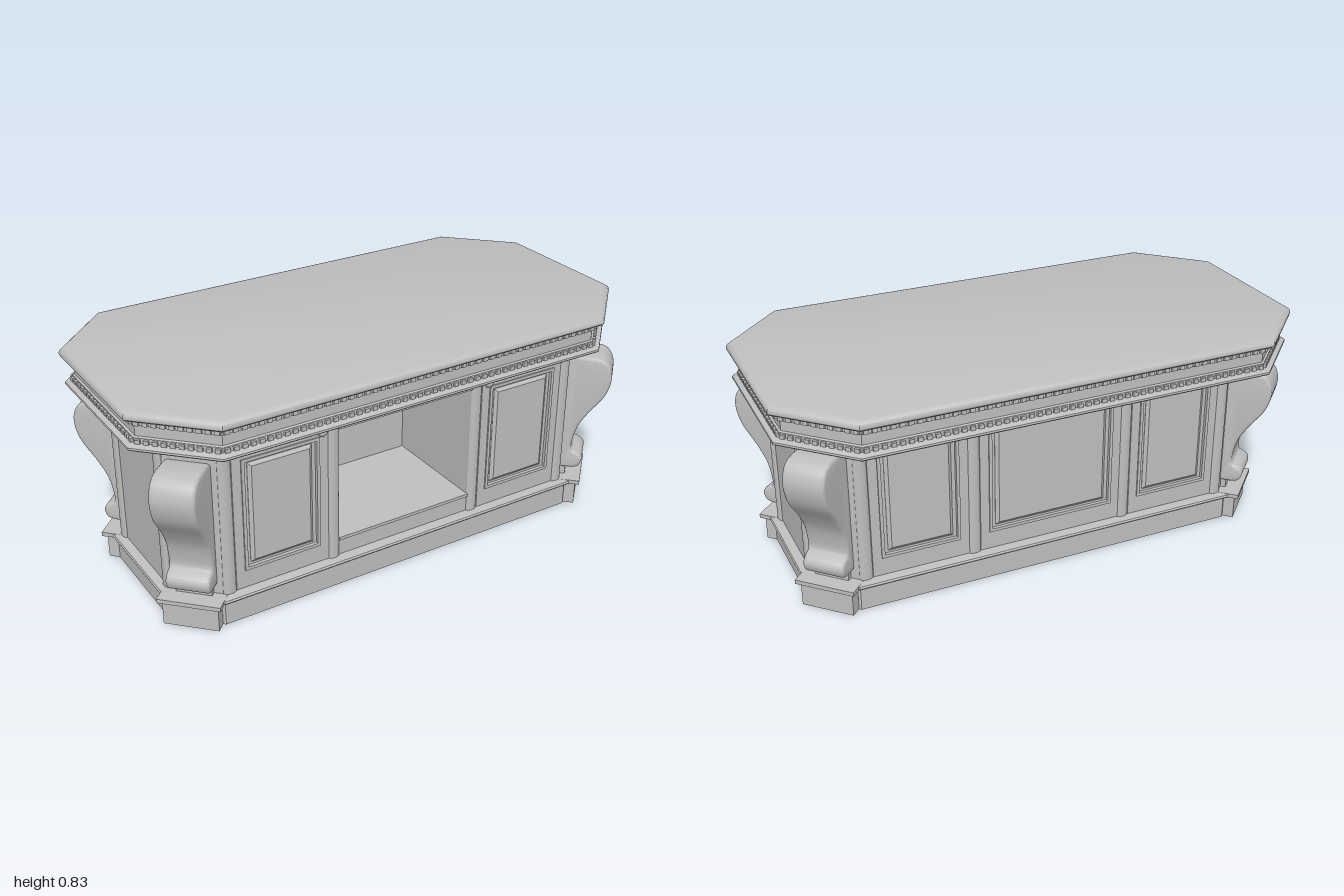
import * as THREE from 'three';
import { mergeGeometries, toCreasedNormals } from 'three/addons/utils/BufferGeometryUtils.js';

const CZ = 0.045; // the cabinet sits a little forward of the top's centre

// Octagonal outline [x, z] with cut corners, offset outward by d
function octagon({ hx, hz, cut, cz = 0 }, d = 0) {
  const x = hx + d, z = hz + d, c = cut + d * (2 - Math.SQRT2);
  return [[x, z - c], [x - c, z], [c - x, z], [-x, z - c],
    [-x, c - z], [c - x, -z], [x - c, -z], [x, c - z]].map(([px, pz]) => [px, pz + cz]);
}

// Sweep a profile of [offset, y] steps, bottom to top, around an octagon and cap it
function octagonMoulding(oct, profile) {
  const pos = [];
  const rings = profile.map(([d, y]) => octagon(oct, d).map(([x, z]) => [x, y, z]));
  const tri = (...pts) => pts.forEach((p) => pos.push(...p));
  const first = rings[0], last = rings[rings.length - 1];
  for (let i = 0; i < 8; i++) {
    const j = (i + 1) % 8;
    for (let k = 0; k + 1 < rings.length; k++) {
      const lo = rings[k], hi = rings[k + 1];
      tri(lo[i], hi[j], lo[j]);
      tri(lo[i], hi[i], hi[j]);
    }
    tri([0, first[0][1], oct.cz || 0], first[i], first[j]);
    tri([0, last[0][1], oct.cz || 0], last[j], last[i]);
  }
  const g = new THREE.BufferGeometry();
  g.setAttribute('position', new THREE.Float32BufferAttribute(pos, 3));
  return toCreasedNormals(g, 0.6);
}

// Extrude an [x, z] outline upward from y0 to y1; a hole must run the other way round
function extrudeUp(points, y0, y1, hole) {
  const vec = (list) => list.map(([x, z]) => new THREE.Vector2(x, -z));
  const shape = new THREE.Shape(vec(points));
  if (hole) shape.holes.push(new THREE.Path(vec(hole).reverse()));
  return new THREE.ExtrudeGeometry(shape, { depth: y1 - y0, bevelEnabled: false })
    .rotateX(-Math.PI / 2).translate(0, y0, 0);
}

const rect = (w, h, Type = THREE.Shape) => new Type([[-1, -1], [1, -1], [1, 1], [-1, 1]]
  .map(([x, y]) => new THREE.Vector2(x * w / 2, y * h / 2)));

export function createModel() {
  const desk = new THREE.Group();
  desk.name = 'desk';
  const grey = new THREE.MeshStandardMaterial({ color: 0xbfbfbf });
  grey.name = 'plain grey';

  const add = (name, geometry, parent = desk) => {
    const mesh = new THREE.Mesh(geometry, grey);
    mesh.name = name;
    parent.add(mesh);
    return mesh;
  };
  const box = (name, w, h, d, x, y, z, parent) =>
    add(name, new THREE.BoxGeometry(w, h, d).translate(x, y, z), parent);

  // Table top with a rounded edge
  const top = { hx: 1, hz: 0.51, cut: 0.23 };
  add('tableTop', octagonMoulding(top, [[-0.03, 0.788], [-0.022, 0.797], [-0.008, 0.8], [-0.001, 0.807],
    [0, 0.815], [-0.004, 0.825], [-0.012, 0.832], [-0.022, 0.835]]));

  // Frieze with a slightly sunk band and a moulding below
  add('frieze', octagonMoulding(top, [[-0.03, 0.69], [-0.016, 0.69], [-0.009, 0.696], [-0.01, 0.703],
    [-0.02, 0.708], [-0.035, 0.711], [-0.035, 0.729], [-0.042, 0.733],
    [-0.042, 0.769], [-0.035, 0.773], [-0.035, 0.79]]));

  // Two rows of small teeth around the frieze
  const teeth = [];
  const outline = octagon(top, -0.033);
  outline.forEach(([x0, z0], i) => {
    const [x1, z1] = outline[(i + 1) % 8];
    const length = Math.hypot(x1 - x0, z1 - z0), n = Math.round(length / 0.03);
    for (let k = 0; k < n; k++) {
      const t = (k + 0.5) / n;
      for (const y of [0.718, 0.783]) {
        teeth.push(new THREE.BoxGeometry(0.018, 0.014, 0.014)
          .rotateY(-Math.atan2(z1 - z0, x1 - x0))
          .translate(x0 + (x1 - x0) * t, y, z0 + (z1 - z0) * t));
      }
    }
  });
  add('friezeTeeth', mergeGeometries(teeth));

  // Cabinet body with the knee space cut into its front
  const body = { hx: 0.877, hz: 0.335, cut: 0.14, cz: CZ };
  const front = CZ + body.hz, back = CZ - body.hz;
  const plan = octagon(body);
  plan.splice(2, 0, [0.28, front], [0.28, -0.05], [-0.28, -0.05], [-0.28, front]);
  add('cabinetBody', extrudeUp(plan, 0.1, 0.692));
  box('kneeSpaceFloor', 0.56, 0.08, 0.43, 0, 0.142, 0.167);
  box('kneeSpaceTopRail', 0.56, 0.07, 0.43, 0, 0.656, 0.167);
  for (const y of [0.178, 0.625, 0.685]) box('railBead', 0.56, 0.012, 0.012, 0, y, front + 0.004);

  // Rounded upright strips on front, back and sides
  const strip = new THREE.CylinderGeometry(0.024, 0.024, 0.59, 20);
  const pilaster = (x, z, depthX, depthZ) => {
    const mesh = add('pilaster', strip);
    mesh.position.set(x, 0.397, z);
    mesh.scale.set(depthX, 1, depthZ);
  };
  for (const s of [-1, 1]) {
    for (const z of [front, back]) {
      pilaster(s * 0.302, z, 0.95, 0.55);
      pilaster(s * 0.713, z, 1, 0.55);
    }
    for (const z of [0.228, -0.138]) pilaster(s * body.hx, z, 0.5, 0.95);
  }

  // Framed panel with a raised field
  function framedPanel(name, x, z, w, facing) {
    const group = new THREE.Group();
    group.name = name;
    const h = 0.57, iw = w - 0.08, ih = 0.42;
    const frame = rect(w, h);
    frame.holes.push(rect(iw, ih, THREE.Path));
    add('panelFrame', new THREE.ExtrudeGeometry(frame, { depth: 0.008, bevelEnabled: false }), group);
    const trim = rect(iw + 0.012, ih + 0.012);
    trim.holes.push(rect(iw - 0.012, ih - 0.012, THREE.Path));
    add('panelTrim', new THREE.ExtrudeGeometry(trim, { depth: 0.013, bevelEnabled: false }), group);
    add('raisedField', new THREE.ExtrudeGeometry(rect(iw - 0.065, ih - 0.055), {
      depth: 0.001, bevelThickness: 0.009, bevelSize: 0.012, bevelSegments: 1,
    }), group);
    group.position.set(x, 0.397, z);
    if (facing < 0) group.rotation.y = Math.PI;
    desk.add(group);
  }
  for (const s of [-1, 1]) {
    framedPanel('frontDoor', s * 0.507, front, 0.365, 1);
    framedPanel('backPanel', s * 0.507, back, 0.365, -1);
    add('doorKnob', new THREE.SphereGeometry(0.018, 20, 12).translate(s * 0.348, 0.632, front + 0.012));
  }
  framedPanel('backCentrePanel', 0, back, 0.56, -1);

  // Hollow plinth and its lip
  const plinth = { hx: 0.895, hz: 0.36, cut: 0.15, cz: CZ };
  add('plinth', extrudeUp(octagon(plinth), 0, 0.098, octagon(plinth, -0.05)));
  const lip = [[0.008, 0.092], [0.018, 0.095], [0.02, 0.1], [0.016, 0.106], [0.004, 0.109]];
  add('plinthLip', octagonMoulding(plinth, lip));

  // Scrolled bracket outline, drawn as [projection, height]
  const curve = new THREE.SplineCurve([[0.08, 0.625], [0.125, 0.617], [0.153, 0.588], [0.163, 0.535],
    [0.143, 0.465], [0.09, 0.39], [0.053, 0.325], [0.037, 0.26], [0.038, 0.224], [0.058, 0.213],
    [0.076, 0.197], [0.079, 0.175], [0.066, 0.152], [0.035, 0.145]].map(([x, y]) => new THREE.Vector2(x, y)));
  const bracketShape = new THREE.Shape([new THREE.Vector2(-0.02, 0.145), new THREE.Vector2(-0.02, 0.61),
    new THREE.Vector2(0.02, 0.622), ...curve.getPoints(56)]);
  const bracketGeometry = toCreasedNormals(new THREE.ExtrudeGeometry(bracketShape, {
    depth: 0.132, bevelThickness: 0.012, bevelSize: 0.01, bevelOffset: -0.01, bevelSegments: 3,
  }).translate(0, 0, -0.066), 0.7);

  // Corner brackets and the blocks under them; local +x points out of the corner
  for (const sx of [-1, 1]) {
    for (const sz of [-1, 1]) {
      const corner = new THREE.Group();
      corner.name = 'cornerBracket';
      corner.position.set(sx * (body.hx - body.cut / 2), 0, CZ + sz * (body.hz - body.cut / 2));
      corner.rotation.y = Math.atan2(-sz, sx);
      add('scrollBracket', bracketGeometry, corner);
      box('plinthBlock', 0.06, 0.096, 0.2, 0.035, 0.048, 0, corner);
      box('blockLip', 0.11, 0.016, 0.228, 0.026, 0.1015, 0, corner);
      box('bracketFoot', 0.03, 0.04, 0.13, 0.005, 0.128, 0, corner);
      desk.add(corner);
    }
  }
  return desk;
}
